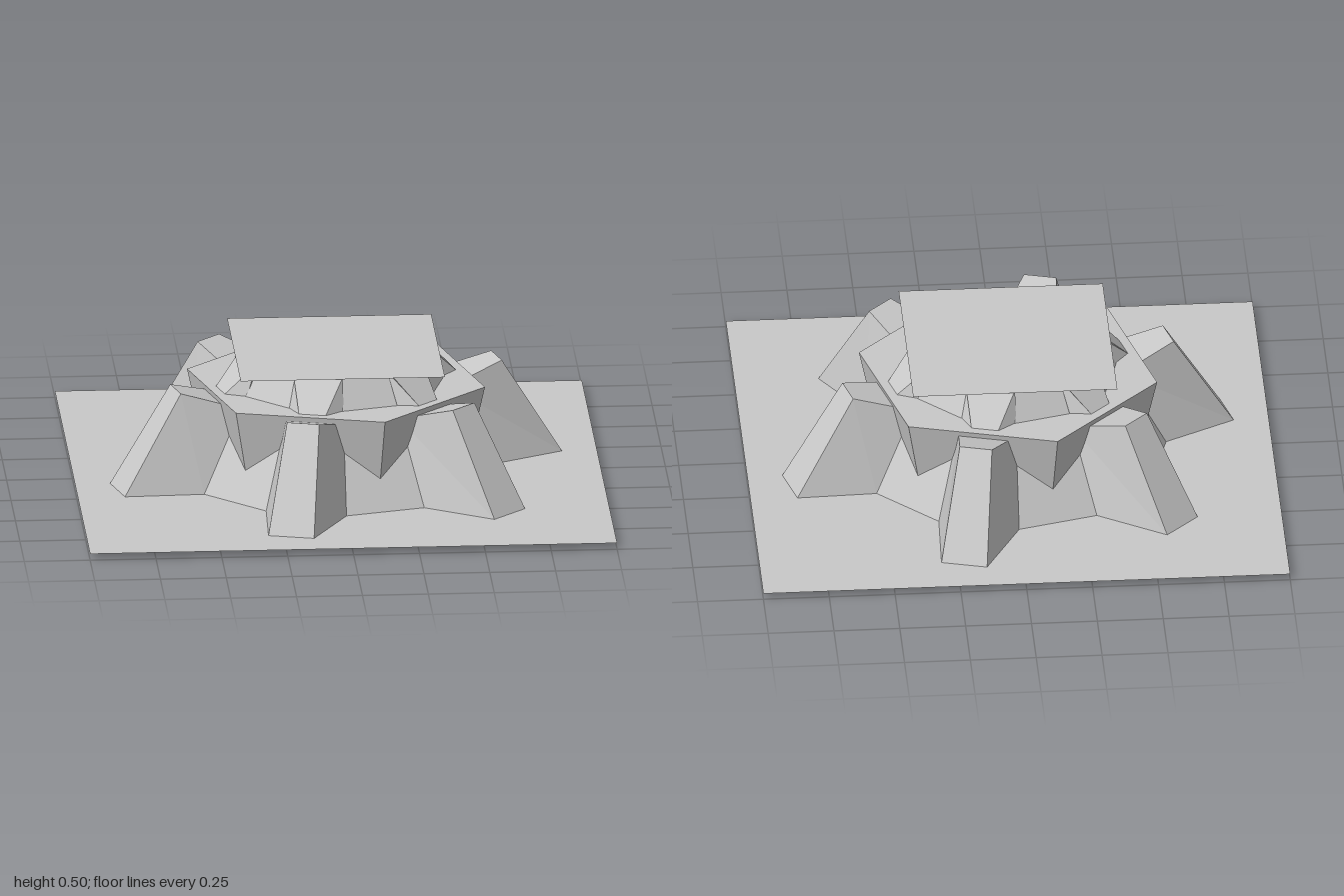
import * as THREE from 'three';

const GROUND = 0.025;

// Four-sided spur pointing along +z, lofted from an inner to an outer cross-section.
// Each end is given as bottom and top edges: [halfWidth, y, z].
function spurGeometry(innerBottom, innerTop, outerBottom, outerTop) {
  const ring = ([wb, yb, zb], [wt, yt, zt]) => [
    [-wb, yb, zb], [wb, yb, zb], [wt, yt, zt], [-wt, yt, zt],
  ];
  const a = ring(innerBottom, innerTop);
  const b = ring(outerBottom, outerTop);
  const pos = [];
  const quad = (p, q, r, s) => pos.push(...p, ...q, ...r, ...p, ...r, ...s);
  for (let k = 0; k < 4; k++) {
    const n = (k + 1) % 4;
    quad(a[k], a[n], b[n], b[k]);
  }
  quad(b[0], b[1], b[2], b[3]);
  const g = new THREE.BufferGeometry();
  g.setAttribute('position', new THREE.Float32BufferAttribute(pos, 3));
  g.computeVertexNormals();
  return g;
}

export function createModel() {
  const group = new THREE.Group();
  const grey = new THREE.MeshStandardMaterial({
    color: 0xc8c8c8, flatShading: true, side: THREE.DoubleSide,
  });
  grey.name = 'stone grey';

  const add = (name, geometry) => {
    const mesh = new THREE.Mesh(geometry, grey);
    mesh.name = name;
    group.add(mesh);
    return mesh;
  };

  // Flat sheets: ground and roof
  add('groundSheet', new THREE.PlaneGeometry(2, 2).rotateX(-Math.PI / 2).translate(0, GROUND, 0));
  add('roofSheet', new THREE.PlaneGeometry(0.775, 0.775).rotateX(-Math.PI / 2).translate(0, 0.5, 0));

  // Hexagonal bowl, widening upwards, its corners between the legs
  add('hexagonBowl', new THREE.CylinderGeometry(0.575, 0.49, 0.38, 6, 1, false, Math.PI / 12)
    .translate(0, 0.19, 0));

  // Twelve-sided tapering core
  const coreHeight = 0.498 - GROUND;
  add('core', new THREE.CylinderGeometry(0.348, 0.6, coreHeight, 12)
    .translate(0, GROUND + coreHeight / 2, 0));

  // Six large buttress legs and six small wedges above them
  const leg = spurGeometry(
    [0.155, GROUND, 0.58], [0.113, 0.335, 0.415],
    [0.088, GROUND, 0.874], [0.062, 0.403, 0.642]);
  const wedge = spurGeometry(
    [0.108, 0.37, 0.395], [0.09, 0.498, 0.336],
    [0.05, 0.375, 0.467], [0.095, 0.498, 0.352]);
  for (let i = 0; i < 6; i++) {
    const turn = -Math.PI / 12 + (i * Math.PI) / 3;
    add('buttressLeg', leg).rotation.y = turn;
    add('upperWedge', wedge).rotation.y = turn;
  }

  return group;
}
